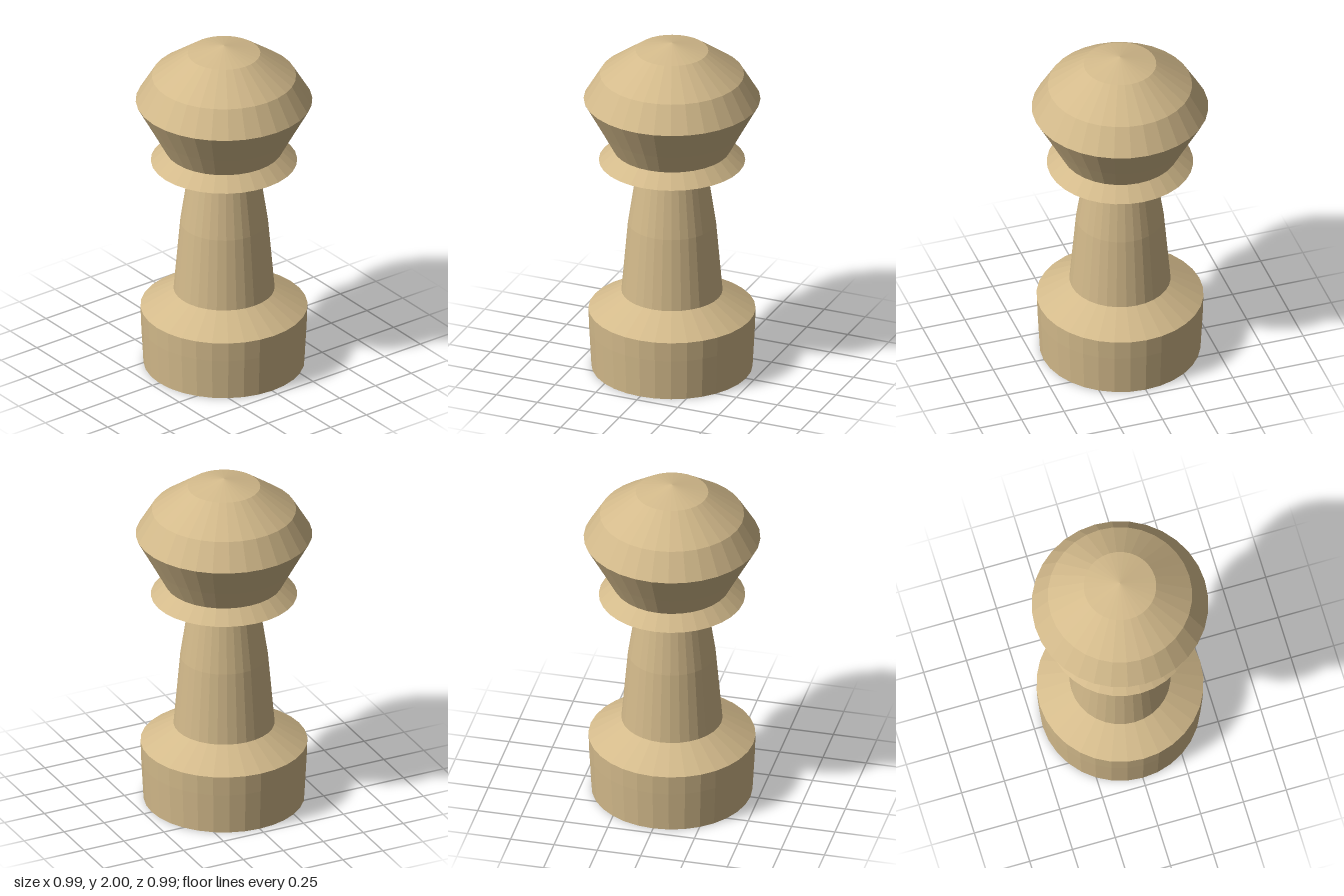
import * as THREE from 'three';

const SIDES = 32;

export function createModel() {
  const group = new THREE.Group();
  group.name = 'turnedPawn';
  const wood = new THREE.MeshStandardMaterial({ color: 0xd3ba8b });
  wood.name = 'pale wood';
  wood.flatShading = true;

  // Each part is a turned profile of [radius, height], listed bottom to top
  const turn = (name, profile) => {
    const points = profile.map(([r, y]) => new THREE.Vector2(r, y));
    const mesh = new THREE.Mesh(new THREE.LatheGeometry(points, SIDES), wood);
    mesh.name = name;
    group.add(mesh);
  };

  // Closed foot with a sloping shoulder
  turn('base', [[0, 0], [0.452, 0], [0.465, 0.24], [0.469, 0.355], [0.284, 0.467]]);
  // Tapering shaft
  turn('stem', [[0.284, 0.467], [0.247, 0.89], [0.203, 1.18]]);
  // Sharp-edged ring under the head
  turn('collar', [[0.203, 1.18], [0.411, 1.275], [0.33, 1.35]]);
  // Faceted knob with a shallow cap
  turn('head', [[0.33, 1.35], [0.397, 1.475], [0.496, 1.655], [0.405, 1.807], [0.204, 1.952], [0, 2]]);

  return group;
}
